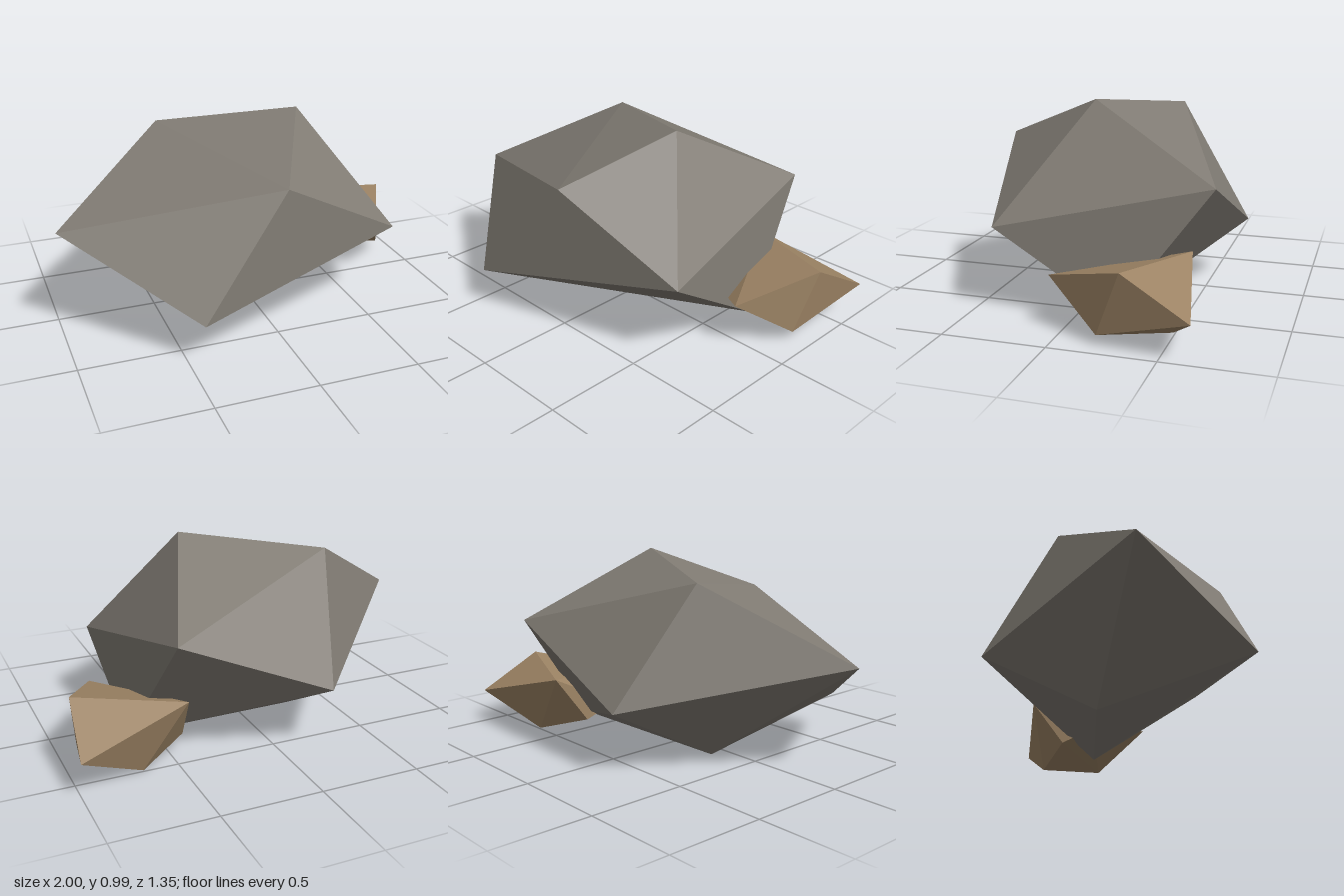
import * as THREE from 'three';
import { ConvexGeometry } from 'three/addons/geometries/ConvexGeometry.js';

// A faceted stone: the convex hull of a few corner points
function stone(name, corners, material) {
  const points = corners.map(([x, y, z]) => new THREE.Vector3(x, y, z));
  const mesh = new THREE.Mesh(new ConvexGeometry(points), material);
  mesh.name = name;
  return mesh;
}

export function createModel() {
  const model = new THREE.Group();
  model.name = 'rocks';

  const grey = new THREE.MeshStandardMaterial({ color: 0x807b73, flatShading: true });
  grey.name = 'grey stone';
  const tan = new THREE.MeshStandardMaterial({ color: 0x9c8364, flatShading: true });
  tan.name = 'tan stone';

  // Large boulder
  model.add(stone('boulder', [
    [-1, 0.545, 0.145],      // left tip
    [-0.38, 0.91, -0.285],   // upper crown
    [0.29, 0.995, 0],        // peak
    [0.03, 0.77, 0.535],     // front shoulder
    [0.675, 0.425, 0.39],    // front right corner
    [-0.43, 0.21, 0.675],    // front foot
    [-0.28, 0.003, -0.09],   // lowest point
    [0.65, 0.05, -0.2],      // right foot
    [0.545, 0.65, -0.645],   // back right corner
    [-0.23, 0.32, -0.675],   // back foot
  ], grey));

  // Small stone leaning into its side
  model.add(stone('smallStone', [
    [0.96, 0.36, -0.32],
    [1, 0.18, -0.64],
    [0.91, 0.05, -0.2],
    [0.67, 0.003, -0.49],
    [0.76, 0.25, 0.075],
    [0.45, 0.325, -0.525],
    [0.4, 0.15, -0.18],
    [0.42, 0.08, -0.35],
  ], tan));

  return model;
}
